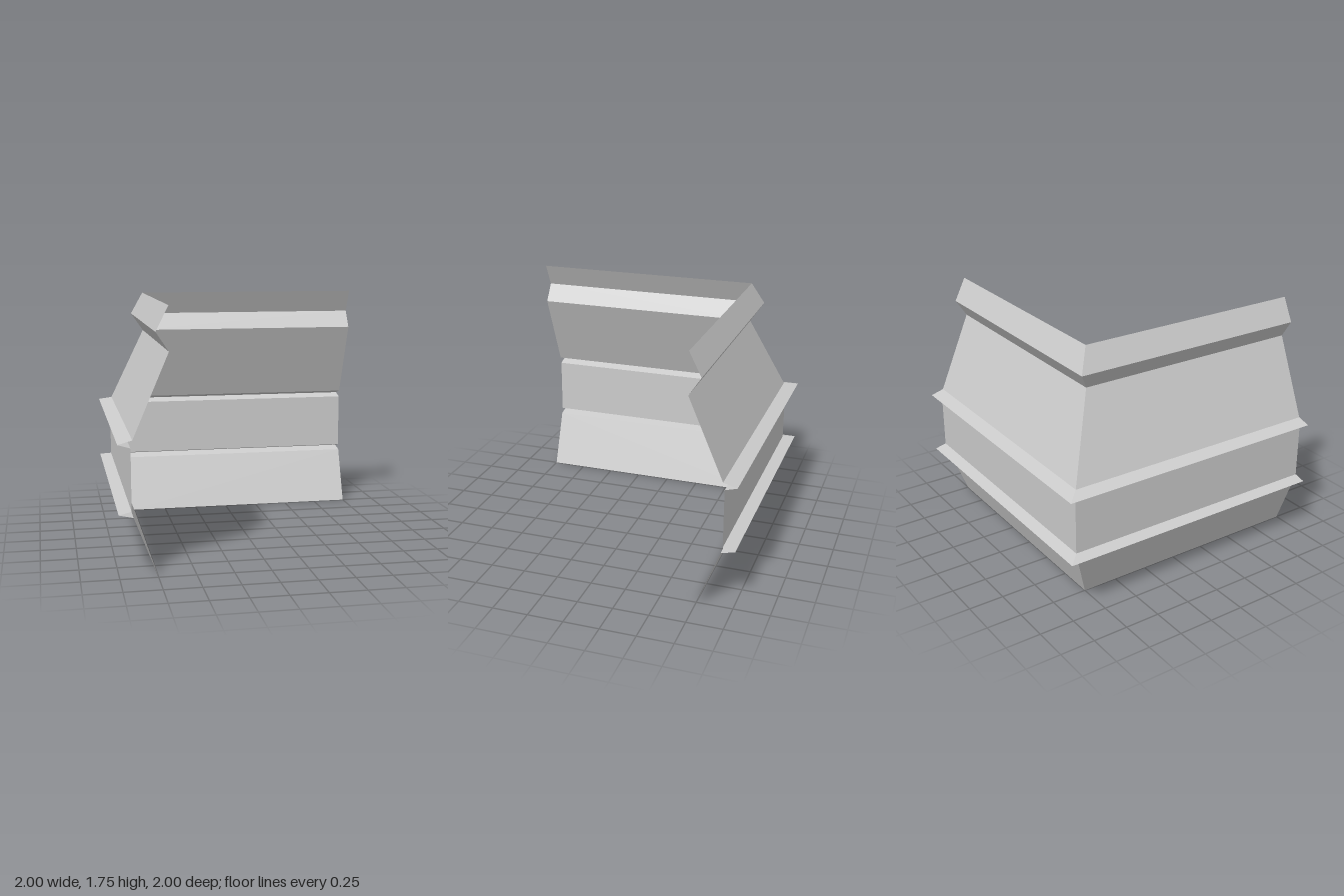
import * as THREE from 'three';

// Corner of an open, folded sheet wall: [distance outward, height] from the bottom up
const PROFILE = [
  [0.75, 0], [0.905, 0.402], [1, 0.423], [0.917, 0.444],
  [0.917, 0.854], [1, 0.878], [0.905, 0.905],
  [0.667, 1.46], [0.75, 1.585], [0.667, 1.75],
];

// Each part covers a run of profile points
const PARTS = [
  ['lowerSlope', 0, 1],
  ['lowerRidge', 1, 3],
  ['middleBand', 3, 4],
  ['upperRidge', 4, 6],
  ['upperSlope', 6, 7],
  ['topCornice', 7, 9],
];

const END = 1; // both wings are cut off square here

// Strips of one wing, mitred at the corner; the side wing swaps x and z
function stripGeometry(from, to, isSide) {
  const positions = [];
  for (let i = from; i < to; i++) {
    const [d0, y0] = PROFILE[i];
    const [d1, y1] = PROFILE[i + 1];
    const a = [-d0, y0, -d0], b = [-d1, y1, -d1];
    const c = [END, y1, -d1], d = [END, y0, -d0];
    const corners = isSide ? [a, c, b, a, d, c] : [a, b, c, a, c, d];
    for (const [x, y, z] of corners) positions.push(...(isSide ? [z, y, x] : [x, y, z]));
  }
  const geometry = new THREE.BufferGeometry();
  geometry.setAttribute('position', new THREE.Float32BufferAttribute(positions, 3));
  geometry.computeVertexNormals();
  return geometry;
}

export function createModel() {
  const material = new THREE.MeshStandardMaterial({
    color: 0xcccccc, flatShading: true, side: THREE.DoubleSide,
  });
  const model = new THREE.Group();
  model.name = 'cornerWall';
  for (const [wingName, isSide] of [['backWing', false], ['rightWing', true]]) {
    const wing = new THREE.Group();
    wing.name = wingName;
    for (const [name, from, to] of PARTS) {
      const mesh = new THREE.Mesh(stripGeometry(from, to, isSide), material);
      mesh.name = name;
      wing.add(mesh);
    }
    model.add(wing);
  }
  return model;
}
